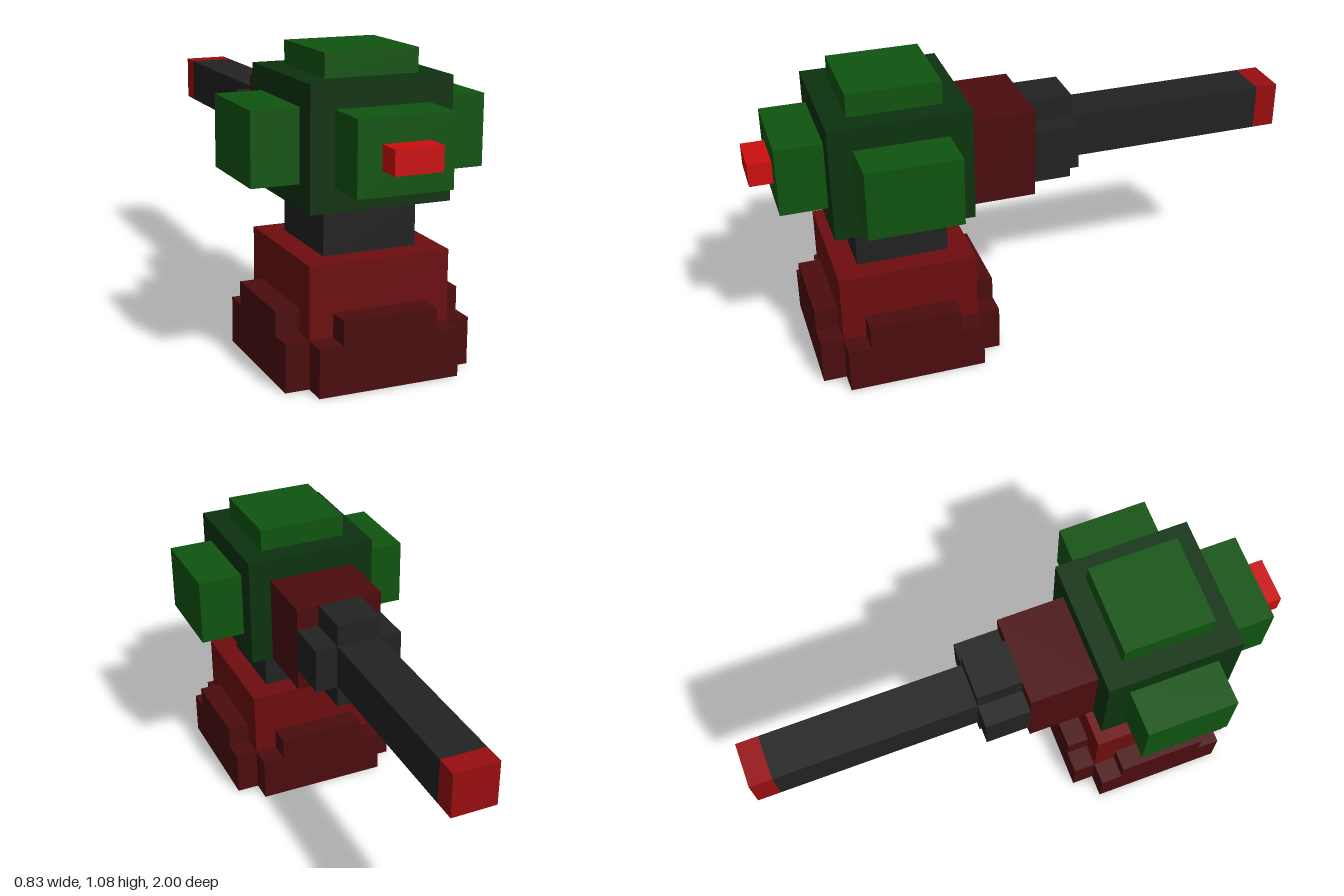
import * as THREE from 'three';

const U = 1 / 12; // one grid cell of the blocky design

function material(name, color) {
  const m = new THREE.MeshStandardMaterial({ color });
  m.name = name;
  return m;
}

export function createModel() {
  const maroon = material('maroon', 0x4b0c0e);
  const red = material('dark red', 0x6e0d0f);
  const tipRed = material('muzzle red', 0x980d0f);
  const brightRed = material('bright red', 0xcc0e10);
  const green = material('green', 0x0f540f);
  const darkGreen = material('dark green', 0x0c330f);
  const charcoal = material('charcoal', 0x222222);

  const model = new THREE.Group();
  model.name = 'turret';

  // Box between two corners given in grid cells
  function block(parent, name, mat, [x0, x1], [y0, y1], [z0, z1]) {
    const geo = new THREE.BoxGeometry((x1 - x0) * U, (y1 - y0) * U, (z1 - z0) * U);
    const mesh = new THREE.Mesh(geo, mat);
    mesh.position.set((x0 + x1) * U / 2, (y0 + y1) * U / 2, (z0 + z1) * U / 2);
    mesh.name = name;
    parent.add(mesh);
  }

  // Base: a core with a stepped skirt on each of its four sides
  const base = new THREE.Group();
  base.name = 'base';
  base.position.z = 6 * U;
  model.add(base);
  block(base, 'baseCore', maroon, [-3, 3], [0, 2], [-3, 3]);
  block(base, 'pedestal', red, [-3, 3], [2, 5], [-3, 3]);
  for (let i = 0; i < 4; i++) {
    const skirt = new THREE.Group();
    skirt.name = 'skirt';
    skirt.rotation.y = i * Math.PI / 2;
    block(skirt, 'skirtLower', maroon, [-3, 3], [0, 2], [3, 4]);
    block(skirt, 'skirtUpper', maroon, [-2, 2], [2, 3], [3, 4]);
    base.add(skirt);
  }

  // Neck and head
  block(model, 'neck', charcoal, [-2, 2], [5, 7], [4, 8]);
  block(model, 'head', darkGreen, [-3, 3], [7, 12], [3, 9]);
  block(model, 'topPlate', green, [-2, 2], [12, 13], [4, 8]);
  block(model, 'leftPod', green, [3, 5], [8, 11], [4, 8]);
  block(model, 'rightPod', green, [-5, -3], [8, 11], [4, 8]);
  block(model, 'frontPod', green, [-2, 2], [8, 11], [9, 11]);
  block(model, 'eye', brightRed, [-1, 1], [9, 10], [11, 12]);

  // Rear mount, cross-shaped collar and long barrel
  block(model, 'barrelMount', maroon, [-2, 2], [7, 11], [0, 3]);
  block(model, 'collarUpright', charcoal, [-1, 1], [7, 11], [-2, 0]);
  block(model, 'collarLeft', charcoal, [1, 2], [8, 10], [-2, 0]);
  block(model, 'collarRight', charcoal, [-2, -1], [8, 10], [-2, 0]);
  block(model, 'barrel', charcoal, [-1, 1], [8, 10], [-11, -2]);
  block(model, 'muzzle', tipRed, [-1, 1], [8, 10], [-12, -11]);

  return model;
}
